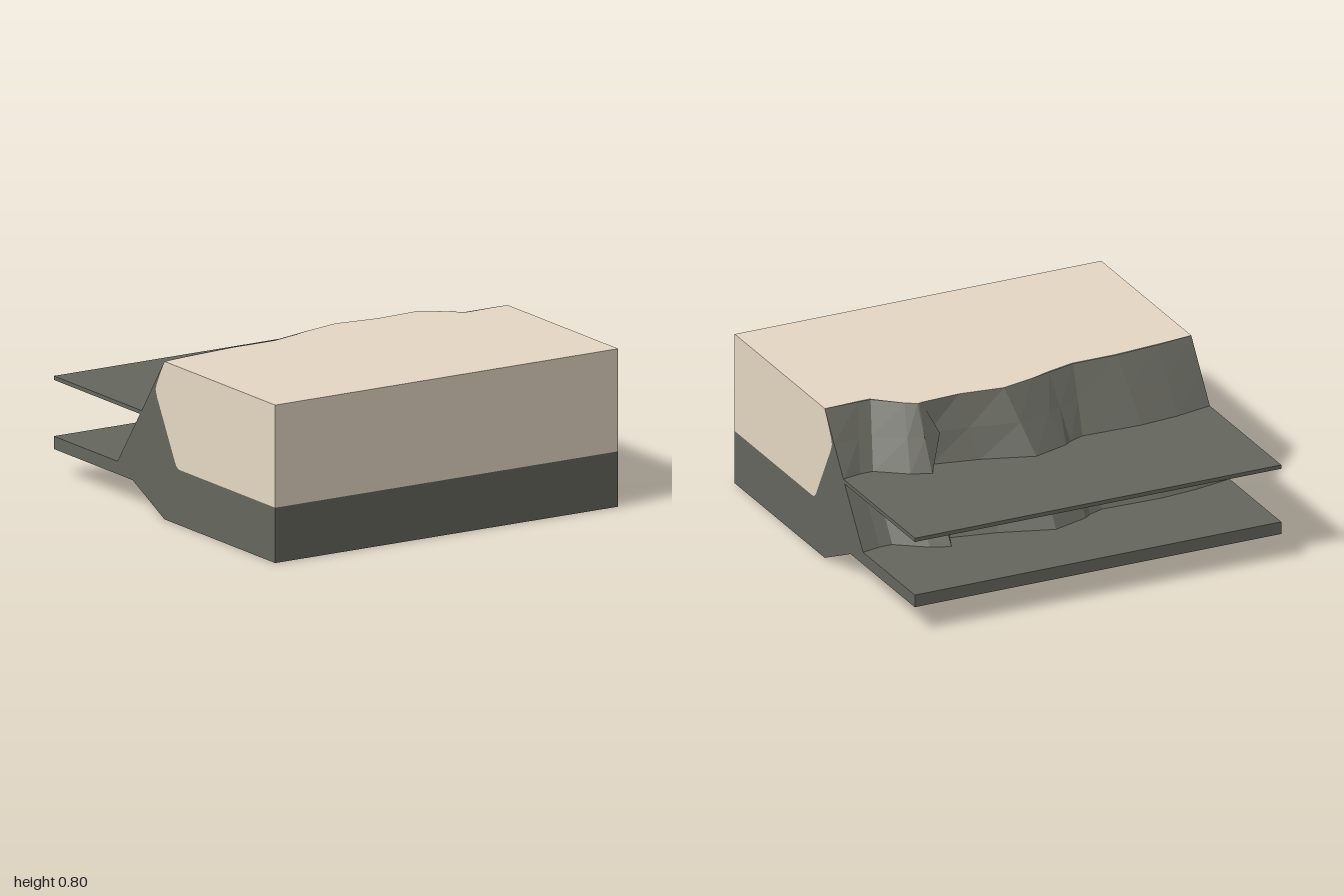
import * as THREE from 'three';

const rock = new THREE.MeshStandardMaterial({
  name: 'dark rock', color: 0x66675e, flatShading: true, side: THREE.DoubleSide,
});
const sand = new THREE.MeshStandardMaterial({ name: 'pale sand', color: 0xf0e1cc, flatShading: true });

// Cliff columns: top x, top z, waterline x, waterline z, optional mid x, mid z
const columns = [
  [-1, 0, -1, -0.21],
  [-0.8, -0.03, -0.8, -0.25],
  [-0.57, -0.05, -0.6, -0.27],
  [-0.33, -0.05, -0.28, -0.26],
  [-0.18, -0.09, -0.2, -0.29],
  [-0.07, -0.12, -0.16, -0.32],
  [0.1, -0.16, 0.03, -0.38],
  [0.33, -0.13, 0.3, -0.29],
  [0.54, -0.14, 0.54, -0.24, 0.53, -0.185],
  [0.555, -0.145, 0.575, -0.325, 0.475, -0.21], // overhanging ledge
  [0.565, -0.145, 0.58, -0.34],
  [0.62, -0.11, 0.68, -0.3],
  [0.75, 0, 0.83, -0.19],
  [0.82, 0, 0.9, -0.19],
  [1, 0, 1, -0.21],
];

// Profile of one column: front foot, over the top, down the cliff, back under to the foot
function profile([tx, tz, wx, wz, mx = (tx + wx) / 2, mz = (tz + wz) / 2]) {
  const rim = Math.abs(tx) === 1 || tz < -0.1 ? 0 : 0.012;
  return [
    [tx, 0, 1], [tx, 0.28, 1], [tx, 0.8, 1],
    [tx, 0.8, tz + rim], [tx, 0.8, tz],
    [mx, 0.65, mz], [wx, 0.5, wz], [wx, 0.2, wz - 0.215],
    [tx, 0, tz],
  ];
}

// Skin the given profile bands across all columns
function skin(name, bands, material) {
  const rings = columns.map(profile);
  const pos = [];
  for (let i = 0; i + 1 < rings.length; i++) {
    for (const k of bands) {
      const a = rings[i][k], b = rings[i + 1][k];
      const c = rings[i + 1][k + 1], d = rings[i][k + 1];
      pos.push(...a, ...b, ...c, ...a, ...c, ...d);
    }
  }
  const geo = new THREE.BufferGeometry();
  geo.setAttribute('position', new THREE.Float32BufferAttribute(pos, 3));
  geo.computeVertexNormals();
  const mesh = new THREE.Mesh(geo, material);
  mesh.name = name;
  return mesh;
}

// Flat end face at x = side, outlined by [z, y] points
function endFace(name, points, side, material) {
  const shape = new THREE.Shape(points.map(([z, y]) => new THREE.Vector2(-side * z, y)));
  const mesh = new THREE.Mesh(new THREE.ShapeGeometry(shape), material);
  mesh.rotation.y = side * Math.PI / 2;
  mesh.position.x = side;
  mesh.name = name;
  return mesh;
}

export function createModel() {
  const group = new THREE.Group();
  group.name = 'coastalCliff';

  // Land shell, open underneath
  group.add(skin('sandLayer', [1, 2], sand));
  group.add(skin('rockLayerAndCliff', [0, 3, 4, 5, 6, 7], rock));

  // Cut ends showing the two layers
  const seam = [[1, 0.28], [0.13, 0.28], [0.11, 0.29], [0.095, 0.31], [-0.065, 0.6],
    [-0.08, 0.64], [-0.07, 0.67], [0, 0.8]];
  const sandEnd = [...seam, [1, 0.8]];
  const rockEnd = [[1, 0], ...seam, [-0.21, 0.5], [-0.425, 0.2], [0, 0]];
  for (const side of [1, -1]) {
    const label = side > 0 ? 'left' : 'right';
    group.add(endFace(label + 'SandEnd', sandEnd, side, sand));
    group.add(endFace(label + 'RockEnd', rockEnd, side, rock));
  }

  // Seabed slab, running right through the land as its raised floor
  const seabed = new THREE.Mesh(new THREE.BoxGeometry(2, 0.065, 2), rock);
  seabed.position.y = 0.1675;
  seabed.name = 'seabed';
  group.add(seabed);

  // Thin water sheet meeting the cliff along the waterline
  const shore = columns.map(([, , x, z]) => new THREE.Vector2(x, z + 0.003));
  const sheet = new THREE.Shape([...shore, new THREE.Vector2(1, -1), new THREE.Vector2(-1, -1)]);
  const geo = new THREE.ExtrudeGeometry(sheet, { depth: 0.02, bevelEnabled: false });
  geo.rotateX(Math.PI / 2);
  const water = new THREE.Mesh(geo, rock);
  water.position.y = 0.505;
  water.name = 'waterSheet';
  group.add(water);

  return group;
}
